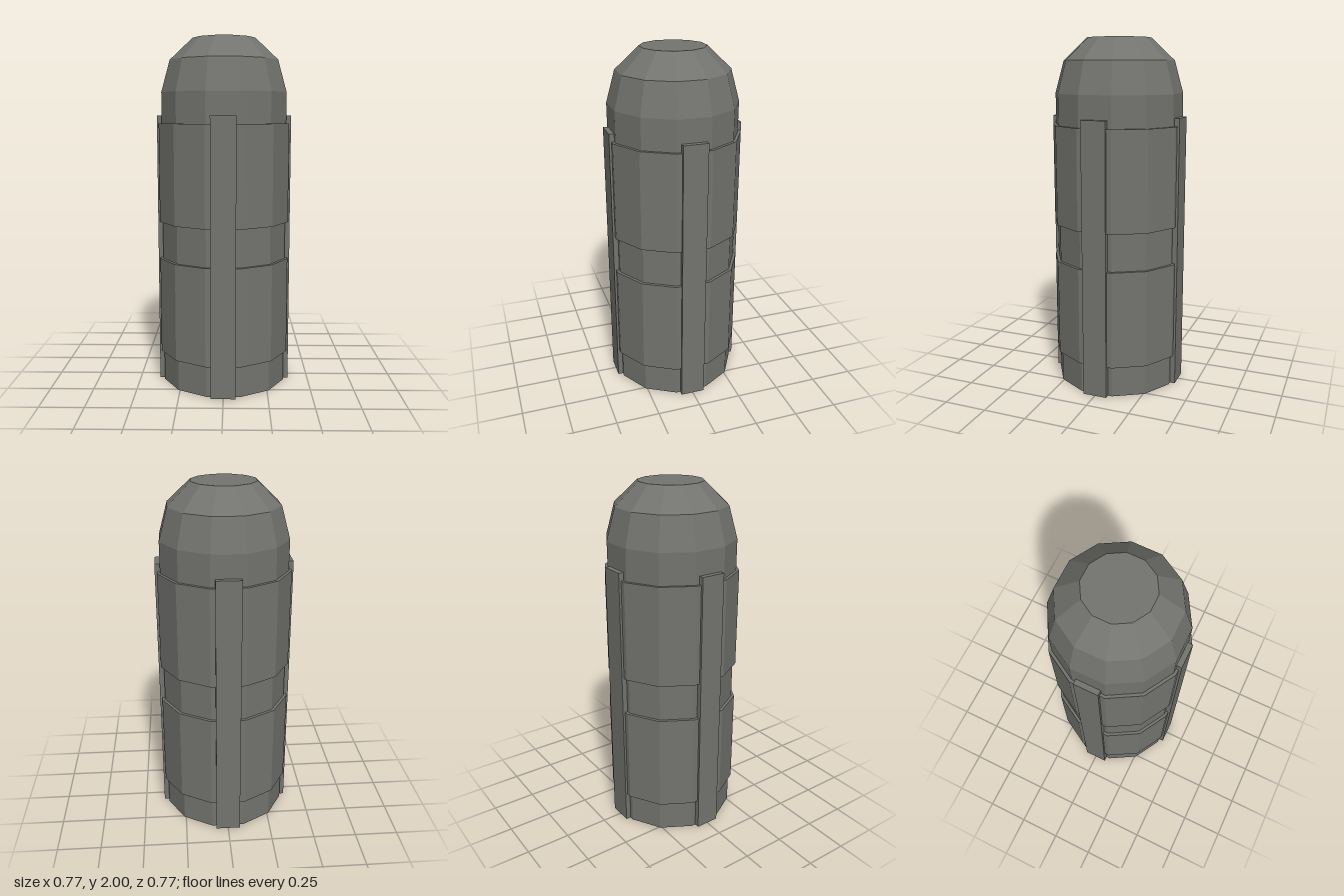
import * as THREE from 'three';

const SIDES = 12;
const TURN = Math.PI / SIDES; // flat faces point along x and z

export function createModel() {
  const model = new THREE.Group();
  model.name = 'capsule';
  const gray = new THREE.MeshStandardMaterial({ color: 0x73736f, flatShading: true });
  gray.name = 'gunmetal gray';

  const add = (name, geometry) => {
    const mesh = new THREE.Mesh(geometry, gray);
    mesh.name = name;
    model.add(mesh);
    return mesh;
  };

  // Twelve-sided body with a two-step tapered nose, closed at both ends
  const profile = [[0, 0], [0.366, 0], [0.366, 1.695], [0.316, 1.875], [0.183, 2], [0, 2]]
    .map(([r, y]) => new THREE.Vector2(r, y));
  add('body', new THREE.LatheGeometry(profile, SIDES, TURN));

  // Two raised bands around the body
  for (const [name, low, high] of [['lowerBand', 0.18, 0.74], ['upperBand', 0.955, 1.52]]) {
    const band = add(name, new THREE.CylinderGeometry(0.383, 0.383, high - low, SIDES, 1, false, TURN));
    band.position.y = (low + high) / 2;
  }

  // Four upright ribs, one on each main side
  ['frontRib', 'leftRib', 'backRib', 'rightRib'].forEach((name, i) => {
    const rib = new THREE.BoxGeometry(0.14, 1.565, 0.05);
    rib.translate(0, 1.565 / 2, 0.358);
    add(name, rib).rotation.y = i * Math.PI / 2;
  });

  return model;
}
